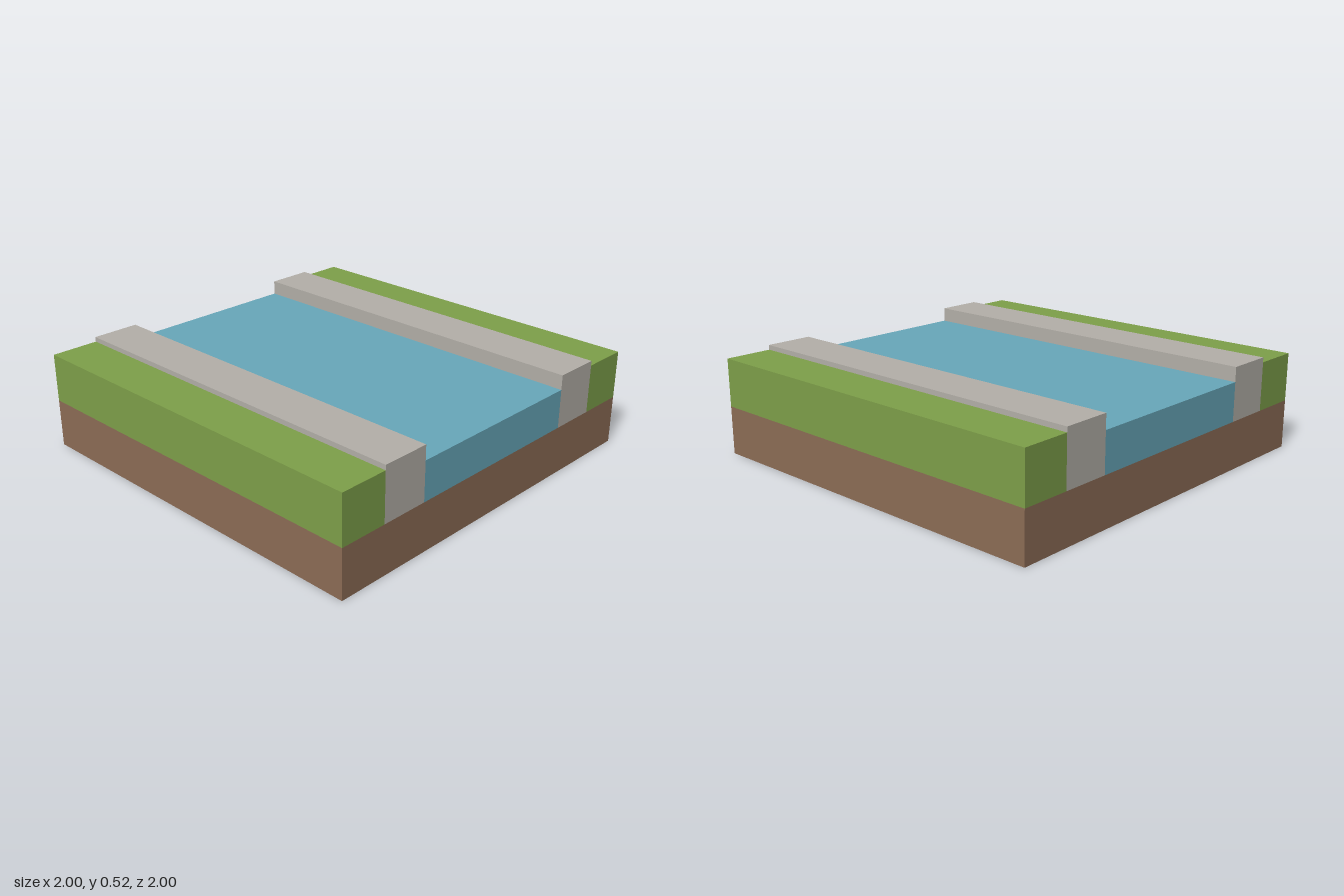
import * as THREE from 'three';

const material = (name, color) => {
  const m = new THREE.MeshStandardMaterial({ color, side: THREE.DoubleSide });
  m.name = name;
  return m;
};

export function createModel() {
  const model = new THREE.Group();
  model.name = 'canalTile';

  const earth = material('earth brown', 0x8d6d56);
  const grass = material('grass green', 0x7ea04a);
  const stone = material('stone grey', 0xb4b0a9);
  const water = material('water blue', 0x68a8ba);

  const base = 0.25, grassTop = 0.5, stoneTop = 0.525, waterTop = 0.45;

  function panel(name, mat, width, height, rotation, position, parent) {
    const mesh = new THREE.Mesh(new THREE.PlaneGeometry(width, height), mat);
    mesh.name = name;
    mesh.rotation.set(...rotation);
    mesh.position.set(...position);
    parent.add(mesh);
  }

  // Upright panel along x, facing +z (dir 1) or -z (dir -1)
  const wall = (name, mat, y0, y1, z, dir, parent) =>
    panel(name, mat, 2, y1 - y0, [0, dir > 0 ? 0 : Math.PI, 0], [0, (y0 + y1) / 2, z], parent);

  // Open strip running along x: a top surface with a face at each end
  function strip(name, mat, z0, z1, top) {
    const group = new THREE.Group();
    group.name = name;
    const width = Math.abs(z1 - z0), z = (z0 + z1) / 2;
    panel(name + 'Top', mat, 2, width, [-Math.PI / 2, 0, 0], [0, top, z], group);
    for (const s of [-1, 1]) {
      panel(name + 'End', mat, width, top - base, [0, s * Math.PI / 2, 0], [s, (base + top) / 2, z], group);
    }
    model.add(group);
    return group;
  }

  // Water channel
  strip('water', water, -0.5, 0.5, waterTop);

  // Mirrored banks: stone kerb with exposed risers, then grass with its outer wall
  for (const s of [1, -1]) {
    const kerb = strip('stoneKerb', stone, s * 0.5, s * 0.75, stoneTop);
    wall('kerbInnerRiser', stone, waterTop, stoneTop, s * 0.5, -s, kerb);
    wall('kerbOuterRiser', stone, grassTop, stoneTop, s * 0.75, s, kerb);

    const bank = strip('grassBank', grass, s * 0.75, s, grassTop);
    wall('grassSide', grass, base, grassTop, s, s, bank);
  }

  // Earth skirt, open underneath
  const skirt = new THREE.Group();
  skirt.name = 'earthSkirt';
  model.add(skirt);
  for (const s of [1, -1]) {
    wall('earthSide', earth, 0, base, s, s, skirt);
    panel('earthEnd', earth, 2, base, [0, s * Math.PI / 2, 0], [s, base / 2, 0], skirt);
  }

  return model;
}
